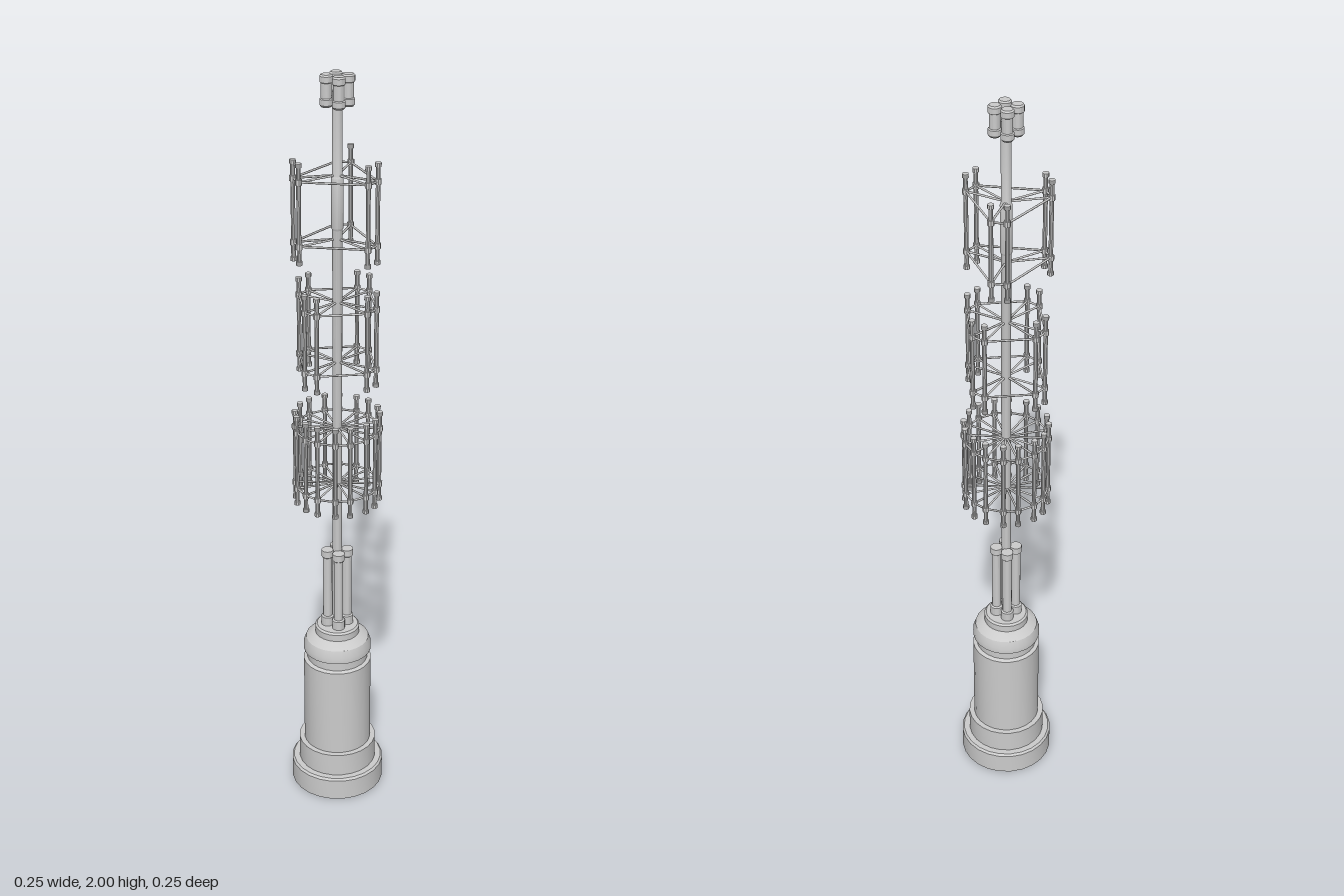
import * as THREE from 'three';
import { toCreasedNormals } from 'three/addons/utils/BufferGeometryUtils.js';

const material = new THREE.MeshStandardMaterial({ color: 0xcccccc });

// Turned part: profile of [radius, y] pairs from bottom to top
function turned(name, profile, sides, x = 0, z = 0) {
  const points = profile.map(([r, y]) => new THREE.Vector2(r, y));
  const geometry = toCreasedNormals(new THREE.LatheGeometry(points, sides), 0.5);
  const mesh = new THREE.Mesh(geometry, material);
  mesh.name = name;
  mesh.position.set(x, 0, z);
  return mesh;
}

// Thin straight bar between two points
function bar(name, a, b, radius) {
  const dir = b.clone().sub(a);
  const mesh = new THREE.Mesh(new THREE.CylinderGeometry(radius, radius, dir.length(), 6), material);
  mesh.name = name;
  mesh.position.copy(a).lerp(b, 0.5);
  mesh.quaternion.setFromUnitVectors(new THREE.Vector3(0, 1, 0), dir.normalize());
  return mesh;
}

// Ring of paired vertical antenna posts, braced to the mast at two levels
function antennaTier(bottom, sectors) {
  const tier = new THREE.Group();
  tier.name = 'antennaTier';
  const top = bottom + 0.253;
  const levels = [bottom + 0.047, bottom + 0.207];
  const posts = [];
  for (let i = 0; i < sectors; i++) {
    const angle = (i / sectors) * Math.PI * 2;
    for (const side of [-0.019, 0.019]) {
      posts.push(new THREE.Vector3(side, 0, 0.107).applyAxisAngle(new THREE.Vector3(0, 1, 0), angle));
    }
  }
  const profile = [
    [0, bottom], [0.008, bottom], [0.008, bottom + 0.01], [0.0055, bottom + 0.01],
    [0.0055, top - 0.01], [0.008, top - 0.01], [0.008, top], [0, top],
  ];
  posts.forEach((p, i) => {
    tier.add(turned('antennaPost', profile, 10, p.x, p.z));
    const next = posts[(i + 1) % posts.length];
    for (const y of levels) {
      const at = (v) => new THREE.Vector3(v.x, y, v.z);
      tier.add(bar('radialArm', new THREE.Vector3(0, y, 0), at(p), 0.0028));
      tier.add(bar('ringBrace', at(p), at(next), 0.0028));
      const clamp = turned('clamp',
        [[0, y - 0.007], [0.0085, y - 0.007], [0.0085, y + 0.007], [0, y + 0.007]], 8, p.x, p.z);
      tier.add(clamp);
    }
  });
  return tier;
}

export function createModel() {
  const model = new THREE.Group();
  model.name = 'antennaMast';

  // Stepped pedestal
  model.add(turned('pedestal', [
    [0, 0], [0.127, 0], [0.127, 0.06], [0.122, 0.066], [0.106, 0.066], [0.106, 0.132],
    [0.092, 0.132], [0.092, 0.392], [0.082, 0.396], [0.082, 0.42], [0.092, 0.424],
    [0.092, 0.44], [0.085, 0.46], [0.065, 0.475], [0.06, 0.476], [0.06, 0.495],
    [0.055, 0.5], [0, 0.5],
  ], 24));

  // Central mast with a thicker sleeve near the top
  model.add(turned('mast', [
    [0, 0.5], [0.0125, 0.5], [0.0125, 1.62], [0.015, 1.625],
    [0.015, 1.75], [0.0125, 1.755], [0.0125, 1.96], [0, 1.96],
  ], 16));

  // Four collared columns around the mast, and a matching cluster at its tip
  for (const x of [-0.0185, 0.0185]) {
    for (const z of [-0.0185, 0.0185]) {
      model.add(turned('column', [
        [0, 0.495], [0.017, 0.495], [0.017, 0.525], [0.0125, 0.528],
        [0.0125, 0.708], [0.016, 0.711], [0.016, 0.73], [0, 0.73],
      ], 16, x, z));
      model.add(turned('tipCanister', [
        [0, 1.923], [0.012, 1.923], [0.016, 1.928], [0.016, 1.942], [0.013, 1.944],
        [0.013, 1.98], [0.016, 1.982], [0.016, 1.996], [0.013, 2], [0, 2],
      ], 16, x, z));
    }
  }

  // Three antenna tiers: eight, four and three sectors
  for (const [bottom, sectors] of [[0.882, 8], [1.226, 4], [1.55, 3]]) {
    model.add(antennaTier(bottom, sectors));
  }
  return model;
}
